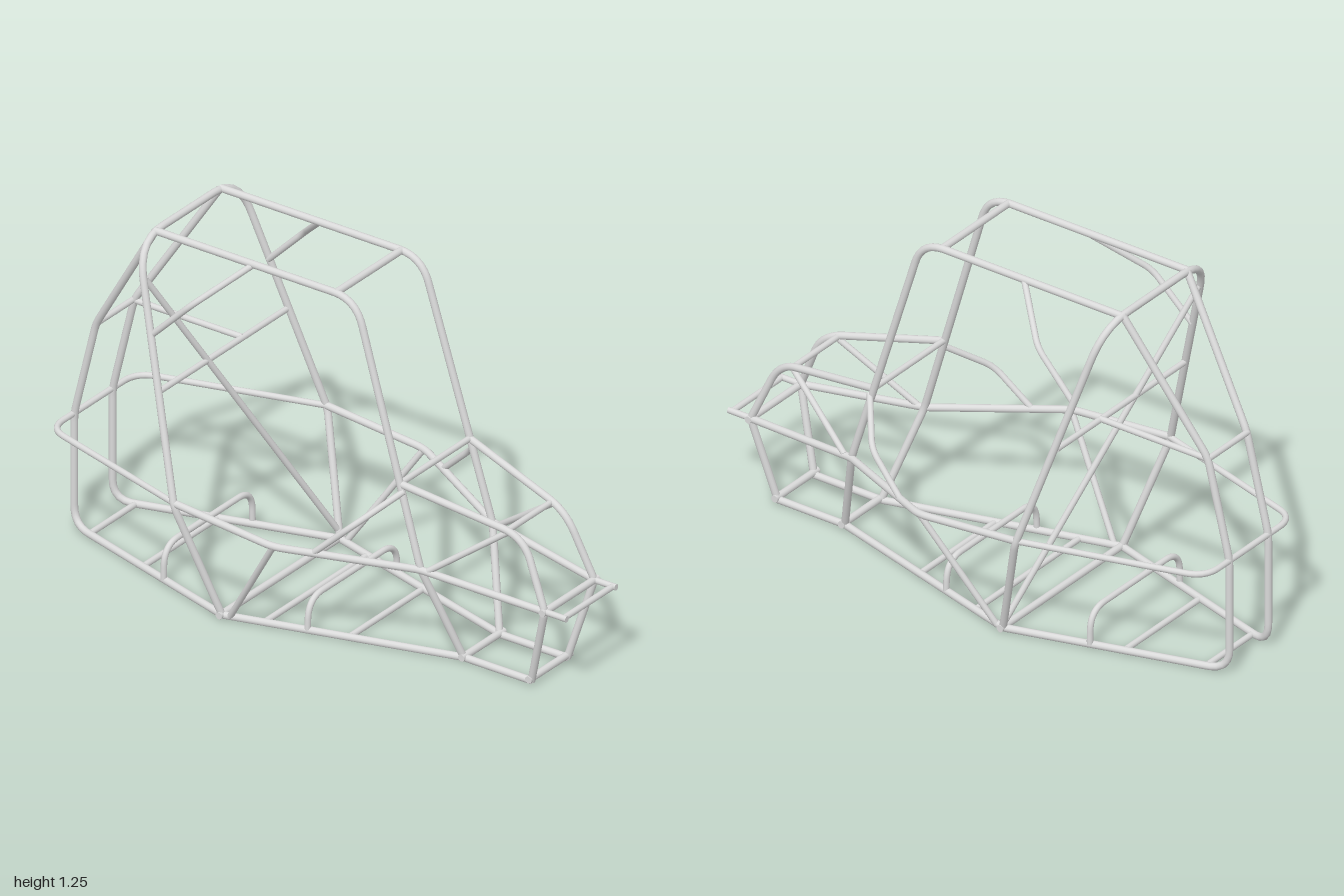
import * as THREE from 'three';

const MAIN = 0.0128; // radius of the main tubes
const THIN = 0.0107; // radius of the bracing tubes

// Path through corner points, each inner corner rounded by its bend length (4th value)
function bentPath(points) {
  const v = points.map(p => new THREE.Vector3(p[0], p[1], p[2]));
  const path = new THREE.CurvePath();
  let start = v[0];
  for (let i = 1; i < v.length - 1; i++) {
    const bend = points[i][3] ?? 0.02;
    const a = v[i].clone().add(v[i - 1].clone().sub(v[i]).setLength(bend));
    const b = v[i].clone().add(v[i + 1].clone().sub(v[i]).setLength(bend));
    path.add(new THREE.LineCurve3(start, a));
    path.add(new THREE.QuadraticBezierCurve3(a, v[i], b));
    start = b;
  }
  path.add(new THREE.LineCurve3(start, v[v.length - 1]));
  return path;
}

export function createModel() {
  const model = new THREE.Group();
  model.name = 'tubeFrame';
  const steel = new THREE.MeshStandardMaterial({ color: 0xdadada });
  steel.name = 'lightGreySteel';

  const add = (name, geometry) => {
    const mesh = new THREE.Mesh(geometry, steel);
    mesh.name = name;
    model.add(mesh);
    return mesh;
  };

  // One tube: a capped cylinder if straight, a swept tube if bent
  function tube(name, points, r = MAIN) {
    if (points.length > 2) {
      return add(name, new THREE.TubeGeometry(bentPath(points), 90, r, 12));
    }
    const [a, b] = points.map(p => new THREE.Vector3(p[0], p[1], p[2]));
    const dir = b.clone().sub(a);
    const mesh = add(name, new THREE.CylinderGeometry(r, r, dir.length(), 12));
    mesh.position.copy(a).lerp(b, 0.5);
    mesh.quaternion.setFromUnitVectors(new THREE.Vector3(0, 1, 0), dir.normalize());
    return mesh;
  }

  const flip = points => points.map(([x, ...rest]) => [-x, ...rest]);

  // The same tube on both sides
  function pair(name, points, r) {
    tube(name + 'Left', points, r);
    tube(name + 'Right', flip(points), r);
  }

  // One tube running over the centre line from side to side
  function hoop(name, half, r) {
    tube(name, [...half, ...flip(half).reverse()], r);
  }

  // Straight tube across the frame
  const cross = (name, x, y, z, r) => tube(name, [[-x, y, z], [x, y, z]], r);

  // Leaning main roll hoop with its diagonal
  hoop('mainHoop', [
    [0.322, 0.013, -0.24], [0.42, 0.41, -0.36], [0.272, 1.238, -0.61, 0.13],
  ]);
  tube('hoopDiagonal', [[-0.285, 1.12, -0.575], [0.322, 0.045, -0.25]], THIN);
  cross('harnessBar', 0.345, 0.768, -0.47, THIN);

  // Front pillars running up into the roof rails
  pair('pillarAndRoofRail', [
    [0.098, 0.013, 0.56], [0.197, 0.345, 0.46], [0.18, 1.238, 0.19, 0.09], [0.18, 1.238, -0.61],
  ]);
  cross('roofFrontBar', 0.18, 1.238, 0.11);
  pair('roofCornerBrace', [
    [0.18, 1.235, -0.22], [0.31, 1.097, -0.37, 0.035], [0.32, 0.945, -0.522],
  ], THIN);

  // Floor rails that sweep up the tail to the top of the main hoop
  pair('frontFloorRail', [[0.098, 0.013, 0.83], [0.098, 0.013, 0.56]]);
  pair('floorRail', [[0.098, 0.013, 0.56], [0.322, 0.013, -0.24]]);
  pair('tailRail', [
    [0.322, 0.013, -0.24], [0.105, 0.013, -0.987, 0.075], [0.105, 0.42, -0.987, 0.03],
    [0.105, 0.775, -0.9, 0.03], [0.175, 1.238, -0.61],
  ]);
  cross('tailUpperBar', 0.105, 0.772, -0.903, THIN);
  cross('tailFloorBar', 0.12, 0.013, -0.91, THIN);
  tube('tailSpine', [[0.105, 0.77, -0.47], [0.105, 0.77, -0.9]], THIN);

  // Floor crossbars: half width, height, z and radius
  [
    [0.116, 0.022, 0.83, MAIN], [0.116, 0.018, 0.563, MAIN], [0.205, 0.013, 0.18, THIN],
    [0.28, 0.013, -0.1, THIN], [0.34, 0.016, -0.24, MAIN], [0.21, 0.013, -0.64, THIN],
  ].forEach((bar, i) => cross('floorBar' + (i + 1), ...bar));

  // Low loops standing on the floor rails
  hoop('frontFloorLoop', [[0.245, 0.015, 0.045], [0.24, 0.125, 0.045, 0.075]], THIN);
  hoop('rearFloorLoop', [[0.243, 0.015, -0.53], [0.24, 0.138, -0.53, 0.075]], THIN);

  // Belt rails bulging round the cabin and closing behind the tail
  pair('beltRail', [
    [0.136, 0.305, 0.91], [0.2, 0.345, 0.46], [0.415, 0.386, 0.03, 0.035], [0.415, 0.421, -0.36],
  ]);
  hoop('rearBeltHoop', [[0.415, 0.421, -0.36], [0.235, 0.421, -0.987, 0.07]], THIN);

  // Nose rails from the pillars down to the floor
  pair('noseRail', [
    [0.19, 0.627, 0.38], [0.113, 0.535, 0.81, 0.08], [0.136, 0.305, 0.91], [0.098, 0.013, 0.83],
  ]);
  cross('dashBar', 0.195, 0.63, 0.375, THIN);
  cross('hoodBar', 0.12, 0.545, 0.75, THIN);
  cross('noseBar', 0.152, 0.305, 0.91);

  // Front bumper
  cross('bumperBar', 0.135, 0.305, 0.985, THIN);
  pair('bumperArm', [[0.135, 0.305, 0.91], [0.135, 0.305, 0.998]], THIN);

  // Side bracing
  pair('noseBrace', [[0.118, 0.545, 0.76], [0.197, 0.348, 0.49]], THIN);
  pair('shoulderBrace', [
    [0.193, 0.605, 0.39], [0.33, 0.5, 0.28, 0.04], [0.356, 0.378, 0.15],
  ], THIN);
  pair('doorBrace', [[0.412, 0.386, 0.03], [0.318, 0.015, -0.21]], THIN);

  return model;
}
